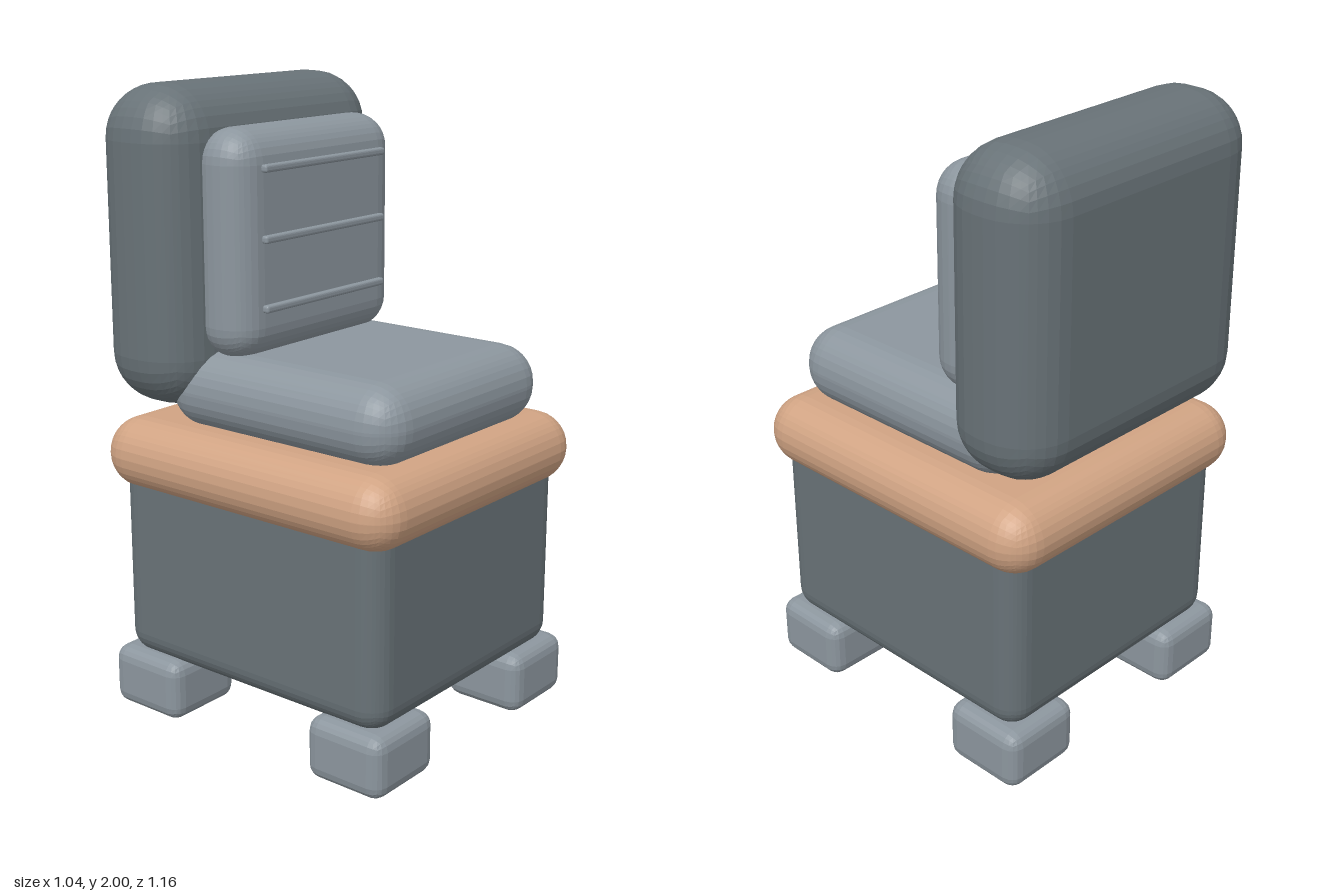
import * as THREE from 'three';
import { RoundedBoxGeometry } from 'three/addons/geometries/RoundedBoxGeometry.js';

const slate = new THREE.MeshStandardMaterial({ color: 0x687277, flatShading: true });
slate.name = 'dark slate fabric';
const grey = new THREE.MeshStandardMaterial({ color: 0x8c969e, flatShading: true });
grey.name = 'light grey fabric';
const tan = new THREE.MeshStandardMaterial({ color: 0xd0a383, flatShading: true });
tan.name = 'tan trim';

// Rounded block given by its extents on each axis
function block(name, material, [x0, x1], [y0, y1], [z0, z1], radius, segments = 4) {
  const geometry = new RoundedBoxGeometry(x1 - x0, y1 - y0, z1 - z0, segments, radius);
  const mesh = new THREE.Mesh(geometry, material);
  mesh.name = name;
  mesh.position.set((x0 + x1) / 2, (y0 + y1) / 2, (z0 + z1) / 2);
  return mesh;
}

export function createModel() {
  const chair = new THREE.Group();
  chair.name = 'chair';

  // Body, from the bottom up
  chair.add(
    block('base', slate, [-0.475, 0.475], [0.18, 0.87], [-0.505, 0.53], 0.08),
    block('seatRim', tan, [-0.52, 0.52], [0.74, 0.97], [-0.56, 0.58], 0.114),
    block('seatCushion', grey, [-0.415, 0.415], [0.95, 1.2], [-0.38, 0.515], 0.12),
    block('backrest', slate, [-0.5, 0.5], [1.015, 2], [-0.58, -0.21], 0.165),
    block('backCushion', grey, [-0.38, 0.38], [1.18, 1.88], [-0.27, -0.055], 0.105),
  );

  // Stitched ribs across the back cushion
  for (const y of [1.345, 1.555, 1.765]) {
    chair.add(block('cushionRib', grey, [-0.285, 0.285], [y - 0.012, y + 0.012], [-0.06, -0.035], 0.008, 2));
  }

  // Four feet
  for (const side of [-1, 1]) {
    for (const [z0, z1] of [[0.28, 0.56], [-0.535, -0.25]]) {
      const x = [side * 0.22, side * 0.505].sort((a, b) => a - b);
      chair.add(block('foot', grey, x, [0, 0.2], [z0, z1], 0.045, 2));
    }
  }
  return chair;
}
